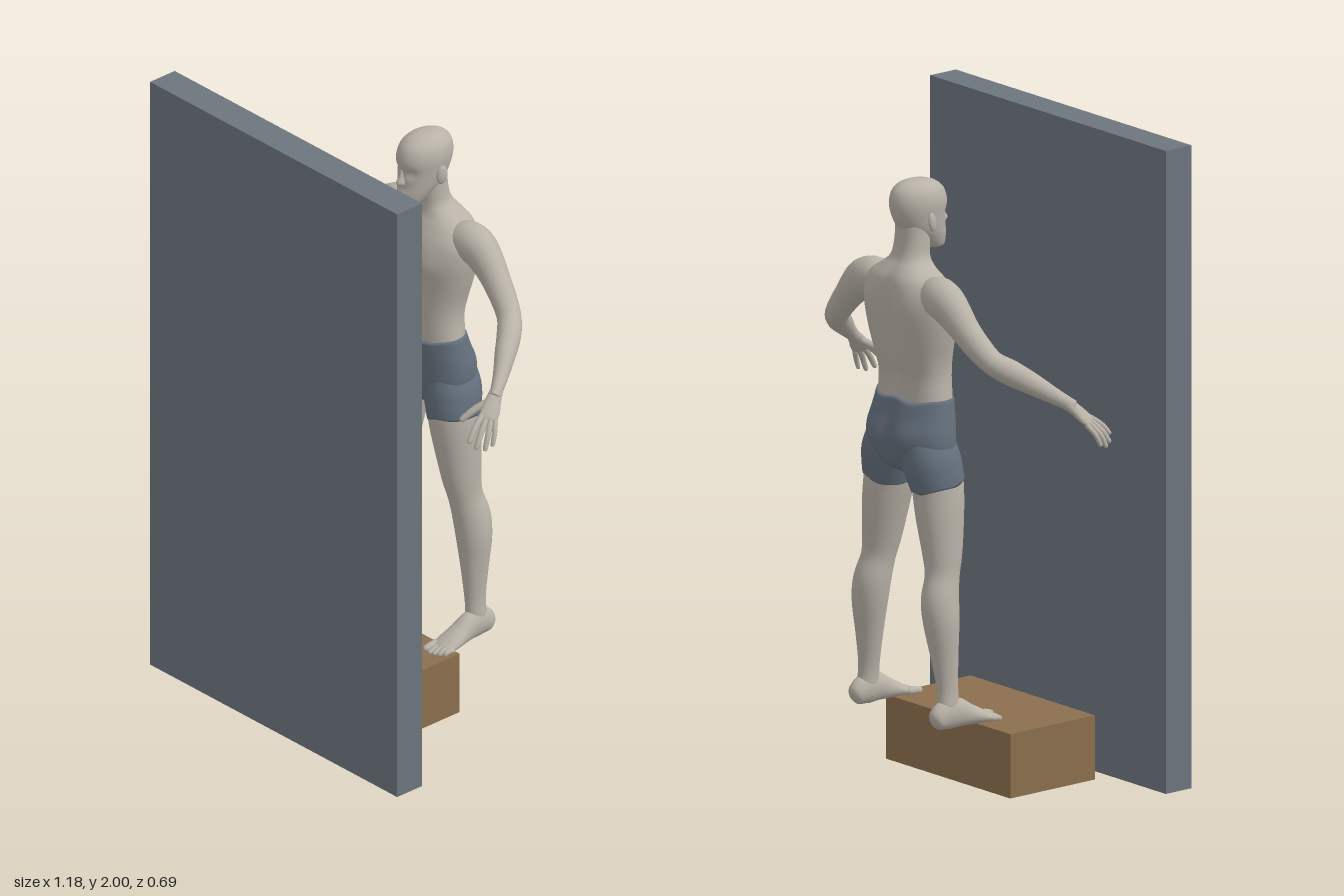
import * as THREE from 'three';

const mat = (name, color) => Object.assign(new THREE.MeshStandardMaterial({ color }), { name });
const V = (x, y, z) => new THREE.Vector3(x, y, z);
const bump = (d, w) => Math.exp(-(d / w) * (d / w));

// Smooth interpolation through rows of numbers
function smooth(rows, sub) {
  const out = [], n = rows.length;
  for (let i = 0; i < n - 1; i++) {
    const a = rows[Math.max(i - 1, 0)], b = rows[i], c = rows[i + 1], d = rows[Math.min(i + 2, n - 1)];
    for (let k = 0; k < sub; k++) {
      const t = k / sub;
      out.push(b.map((_, j) => 0.5 * (2 * b[j] + (c[j] - a[j]) * t
        + (2 * a[j] - 5 * b[j] + 4 * c[j] - d[j]) * t * t
        + (3 * b[j] - a[j] - 3 * c[j] + d[j]) * t * t * t)));
    }
  }
  out.push(rows[n - 1]);
  return out;
}

// Skin of elliptical rings; each row is [x, y, z, radius along ref, other radius]
function loft(rows, { ref = V(1, 0, 0), axis = null, sides = 24, sub = 4, power = 1, tweak = null } = {}) {
  const st = smooth(rows, sub), n = st.length, pos = [], idx = [];
  const at = (i) => V(...st[Math.min(Math.max(i, 0), n - 1)].slice(0, 3));
  const add = (p) => { if (tweak) tweak(p); pos.push(p.x, p.y, p.z); };
  const round = (c) => Math.sign(c) * Math.pow(Math.abs(c), power);
  st.forEach((s, i) => {
    const T = axis ? axis.clone() : at(i + 1).sub(at(i - 1)).normalize();
    const U = ref.clone().addScaledVector(T, -ref.dot(T)).normalize();
    const W = T.clone().cross(U);
    for (let k = 0; k < sides; k++) {
      const a = (k / sides) * Math.PI * 2;
      add(at(i).addScaledVector(U, s[3] * round(Math.cos(a))).addScaledVector(W, s[4] * round(Math.sin(a))));
    }
  });
  add(at(0));
  add(at(n - 1));
  for (let k = 0; k < sides; k++) {
    const m = (k + 1) % sides, e = (n - 1) * sides;
    for (let i = 0; i < n - 1; i++) {
      const a = i * sides + k, b = i * sides + m;
      idx.push(a, b, b + sides, a, b + sides, a + sides);
    }
    idx.push(n * sides, m, k, n * sides + 1, e + k, e + m);
  }
  const g = new THREE.BufferGeometry();
  g.setAttribute('position', new THREE.Float32BufferAttribute(pos, 3));
  g.setIndex(idx);
  g.computeVertexNormals();
  return g;
}

// Thin tapered digit with a rounded tip
function digit(from, mid, to, r, ref) {
  const tip = to.clone().addScaledVector(to.clone().sub(mid).normalize(), r * 0.6);
  return loft([[...from, r, r], [...mid, r, r], [...to, r * 0.8, r * 0.8], [...tip, r * 0.3, r * 0.3]],
    { sides: 10, sub: 3, ref });
}

export function createModel() {
  const skin = mat('skin', 0xb8b2a7), cloth = mat('shorts cloth', 0x64707d);
  const slate = mat('panel grey', 0x6c757d), wood = mat('wood', 0x8b6f4e);
  const model = new THREE.Group();
  model.name = 'figureBehindPanel';
  const figure = new THREE.Group();
  figure.name = 'figure';
  figure.position.x = 0.015;
  model.add(figure);
  const put = (parent, name, geo, material) => {
    const m = new THREE.Mesh(geo, material);
    m.name = name;
    parent.add(m);
    return m;
  };

  // Standing panel and step block
  put(model, 'panel', new THREE.BoxGeometry(1.1, 2, 0.1), slate).position.set(-0.04, 1, 0.3);
  put(model, 'step', new THREE.BoxGeometry(0.58, 0.2, 0.33), wood).position.set(-0.04, 0.1, 0.025);

  // Upright bodies: rows of [y, front z, back z, half width]
  const up = (rows) => rows.map(([y, f, b, w]) => [0, y, (f + b) / 2, w, (f - b) / 2]);
  const Y = V(0, 1, 0);

  // Torso with spine groove, shoulder blades and chest
  put(figure, 'torso', loft(up([
    [1.19, -0.142, -0.302, 0.14], [1.27, -0.14, -0.306, 0.131], [1.33, -0.137, -0.322, 0.137],
    [1.4, -0.136, -0.334, 0.155], [1.47, -0.134, -0.34, 0.169], [1.53, -0.145, -0.34, 0.168],
    [1.575, -0.168, -0.333, 0.14], [1.605, -0.184, -0.316, 0.098], [1.635, -0.188, -0.296, 0.063],
    [1.68, -0.185, -0.284, 0.055], [1.74, -0.185, -0.28, 0.053],
  ]), {
    axis: Y, sides: 48, power: 0.88, tweak: (p) => {
      const x = Math.abs(p.x);
      if (p.z < -0.26) {
        p.z += 0.02 * bump(x, 0.022) * bump(p.y - 1.4, 0.17);
        p.z -= 0.01 * bump(x - 0.085, 0.04) * bump(p.y - 1.5, 0.07);
      } else if (p.z < -0.2) return;
      else {
        p.z += 0.01 * bump(x - 0.075, 0.05) * bump(p.y - 1.46, 0.05);
        p.z -= 0.006 * bump(x, 0.015) * bump(p.y - 1.42, 0.12);
      }
    },
  }), skin);

  // Hips of the shorts
  put(figure, 'shortsHips', loft(up([
    [0.965, -0.19, -0.27, 0.05], [0.995, -0.15, -0.315, 0.125], [1.05, -0.14, -0.332, 0.16],
    [1.1, -0.138, -0.337, 0.163], [1.15, -0.137, -0.322, 0.155], [1.203, -0.138, -0.306, 0.144],
  ]), {
    axis: Y, sides: 48, power: 0.9, tweak: (p) => {
      const x = Math.abs(p.x);
      if (p.z < -0.25) {
        p.z += 0.03 * bump(x, 0.016) * bump(p.y - 1.06, 0.08);
        p.z -= 0.012 * bump(x - 0.07, 0.045) * bump(p.y - 1.08, 0.06);
      }
      if (p.y > 1.19) p.y += 0.005 * Math.cos(p.x * 45);
    },
  }), cloth);

  // Head with eye hollows and lips
  put(figure, 'head', loft(up([
    [1.647, -0.13, -0.16, 0.014], [1.656, -0.117, -0.195, 0.033], [1.69, -0.116, -0.24, 0.05],
    [1.72, -0.118, -0.277, 0.06], [1.76, -0.118, -0.3, 0.067], [1.8, -0.115, -0.309, 0.071],
    [1.835, -0.127, -0.302, 0.064], [1.856, -0.152, -0.282, 0.047], [1.866, -0.18, -0.255, 0.026],
    [1.869, -0.205, -0.23, 0.01],
  ]), {
    axis: Y, sides: 48, tweak: (p) => {
      if (p.z < -0.19) return;
      p.z -= 0.01 * bump(Math.abs(p.x) - 0.028, 0.014) * bump(p.y - 1.762, 0.013);
      p.z += 0.006 * bump(p.x, 0.02) * bump(p.y - 1.693, 0.012);
    },
  }), skin);
  put(figure, 'nose', loft(up([
    [1.772, -0.116, -0.14, 0.006], [1.75, -0.109, -0.14, 0.009], [1.731, -0.099, -0.14, 0.014],
    [1.72, -0.108, -0.14, 0.011],
  ]).reverse(), { axis: Y, sides: 16 }), skin);

  for (const s of [1, -1]) {
    const side = s > 0 ? 'left' : 'right';
    const mir = (rows) => rows.map(([x, ...r]) => [x * s, ...r]);
    const pt = (x, y, z) => V(x * s, y, z);

    const ear = put(figure, side + 'Ear', new THREE.SphereGeometry(1, 14, 10), skin);
    ear.scale.set(0.009, 0.03, 0.017);
    ear.position.set(0.072 * s, 1.748, -0.216);
    ear.rotation.set(-0.15, -0.3 * s, 0);

    // Leg of the shorts, then the bare leg
    put(figure, side + 'ShortsLeg', loft(mir([
      [0.08, 1.08, -0.24, 0.07, 0.085], [0.093, 1.02, -0.239, 0.085, 0.092],
      [0.106, 0.97, -0.232, 0.083, 0.088], [0.113, 0.938, -0.228, 0.08, 0.083],
    ]), { sides: 32, tweak: (p) => { if (p.y < 0.96) p.y += 0.005 * Math.sin(p.x * 60 + p.z * 40); } }), cloth);
    put(figure, side + 'Leg', loft(mir([
      [0.106, 0.97, -0.231, 0.078, 0.083], [0.113, 0.93, -0.228, 0.076, 0.08],
      [0.125, 0.85, -0.231, 0.069, 0.076], [0.14, 0.74, -0.234, 0.056, 0.064],
      [0.149, 0.67, -0.242, 0.049, 0.055], [0.158, 0.6, -0.258, 0.054, 0.06],
      [0.167, 0.53, -0.26, 0.053, 0.056], [0.175, 0.43, -0.255, 0.04, 0.044],
      [0.183, 0.33, -0.25, 0.028, 0.035], [0.187, 0.275, -0.251, 0.028, 0.037],
      [0.188, 0.23, -0.258, 0.028, 0.042],
    ]), { sides: 32 }), skin);

    // Foot with flat sole, and toes
    put(figure, side + 'Foot', loft(mir([
      [0.188, 0.232, -0.311, 0.012, 0.014], [0.188, 0.237, -0.299, 0.026, 0.033],
      [0.188, 0.25, -0.262, 0.031, 0.047], [0.19, 0.25, -0.222, 0.032, 0.046],
      [0.192, 0.238, -0.18, 0.036, 0.034], [0.195, 0.228, -0.14, 0.041, 0.023],
      [0.195, 0.22, -0.108, 0.04, 0.014], [0.194, 0.217, -0.095, 0.034, 0.009],
    ]), { tweak: (p) => { p.y = Math.max(p.y, 0.203); } }), skin);
    [-0.066, -0.065, -0.069, -0.076, -0.085].forEach((z, i) => {
      const r = i ? 0.0085 : 0.0125, x = 0.165 + i * 0.0155 + (i ? 0.004 : 0);
      put(figure, side + 'Toe' + (i + 1),
        digit(pt(x, 0.22, -0.118), pt(x, 0.219, -0.09), pt(x, 0.203 + r, z), r, V(1, 0, 0)), skin);
    });

    // Arm from shoulder to wrist
    put(figure, side + 'Arm', loft(mir([
      [0.09, 1.53, -0.25, 0.04, 0.05], [0.14, 1.54, -0.255, 0.06, 0.057], [0.185, 1.53, -0.259, 0.062, 0.057],
      [0.225, 1.502, -0.258, 0.056, 0.051], [0.27, 1.46, -0.253, 0.046, 0.044],
      [0.32, 1.413, -0.242, 0.041, 0.04], [0.363, 1.374, -0.224, 0.037, 0.037],
      [0.402, 1.345, -0.187, 0.039, 0.037], [0.439, 1.311, -0.138, 0.034, 0.032],
      [0.475, 1.275, -0.088, 0.026, 0.024], [0.5, 1.247, -0.048, 0.021, 0.019],
      [0.508, 1.235, -0.033, 0.021, 0.017],
    ]), { ref: V(0, 1, 0) }), skin);

    // Palm, fingers and thumb
    const across = pt(0.028, -0.017, -0.028).normalize();
    put(figure, side + 'Palm', loft(mir([
      [0.5, 1.247, -0.048, 0.02, 0.018], [0.51, 1.226, -0.026, 0.024, 0.016],
      [0.521, 1.204, -0.005, 0.029, 0.014], [0.529, 1.187, 0.012, 0.028, 0.011],
      [0.532, 1.18, 0.018, 0.02, 0.006],
    ]), { ref: across }), skin);
    [
      [[0.513, 1.198, 0.02], [0.524, 1.168, 0.062], [0.53, 1.137, 0.09]],
      [[0.524, 1.19, 0.015], [0.54, 1.153, 0.052], [0.547, 1.117, 0.076]],
      [[0.534, 1.184, 0.006], [0.553, 1.147, 0.035], [0.56, 1.109, 0.053]],
      [[0.541, 1.18, -0.006], [0.559, 1.149, 0.014], [0.566, 1.117, 0.028]],
      [[0.502, 1.226, -0.02], [0.479, 1.2, 0.022], [0.461, 1.172, 0.056]],
    ].forEach((p, i) => put(figure, side + (i < 4 ? 'Finger' + (i + 1) : 'Thumb'),
      digit(...p.map((q) => pt(...q)), [0.0095, 0.0095, 0.009, 0.008, 0.0115][i], across), skin));
  }
  return model;
}
